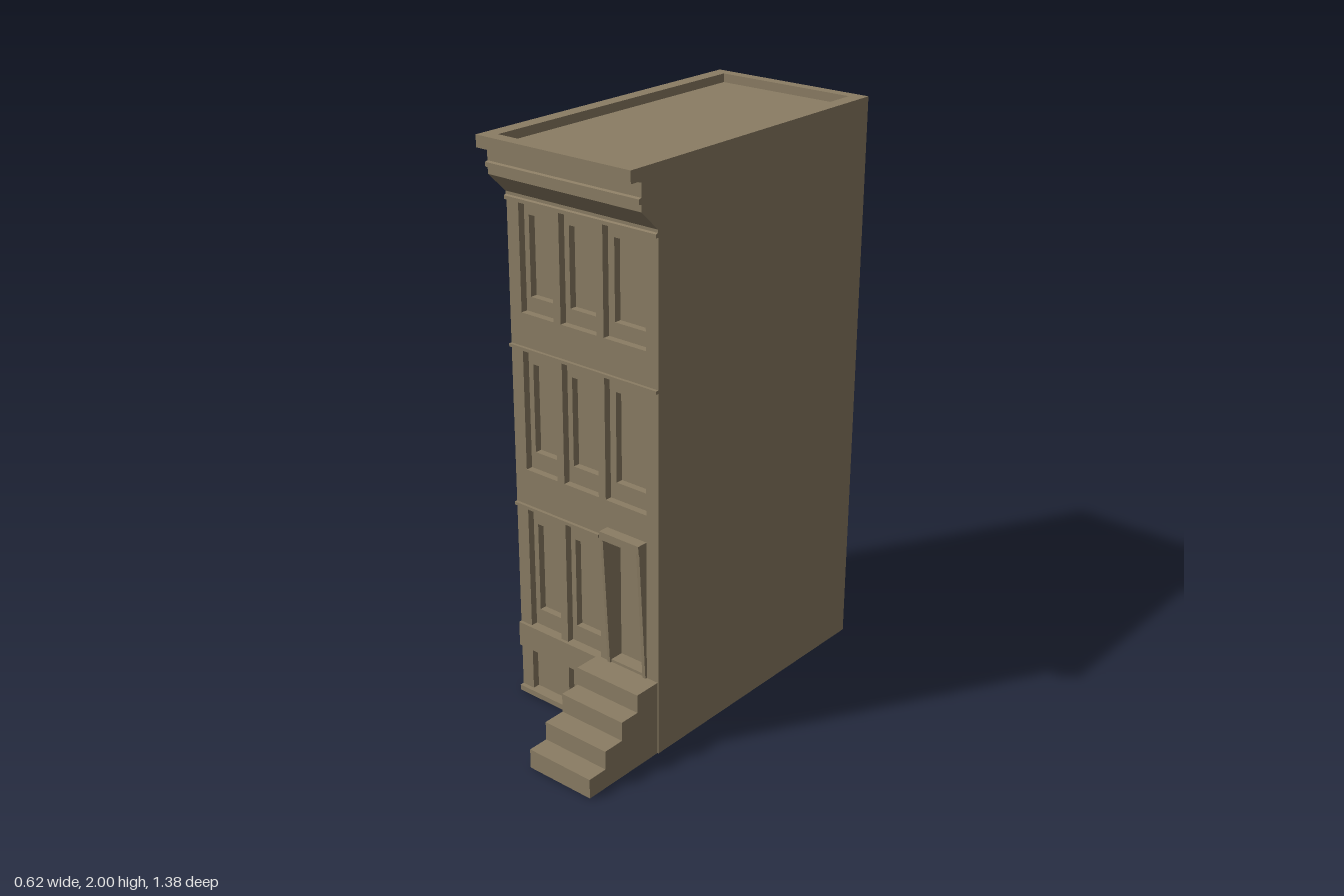
import * as THREE from 'three';

const W = 0.31;            // half width
const FRONT = 0.365;       // face of the front wall
const MID = 0.34;          // depth of the outer window recess
const PANE = 0.315;        // depth of the window panes
const BACK = -0.69;

const material = new THREE.MeshStandardMaterial({ color: 0x8b7d64, flatShading: true });

function add(parent, name, geometry) {
  const mesh = new THREE.Mesh(geometry, material);
  mesh.name = name;
  parent.add(mesh);
  return mesh;
}

// Box given by its limits
function block(x0, x1, y0, y1, z0, z1) {
  return new THREE.BoxGeometry(x1 - x0, y1 - y0, z1 - z0)
    .translate((x0 + x1) / 2, (y0 + y1) / 2, (z0 + z1) / 2);
}

function rect([x0, x1, y0, y1], Type = THREE.Shape) {
  return new Type([[x0, y0], [x1, y0], [x1, y1], [x0, y1]].map(p => new THREE.Vector2(...p)));
}

// Upright plate with rectangular openings
function plate(outline, holes, z0, z1) {
  const shape = rect(outline);
  shape.holes = holes.map(h => rect(h, THREE.Path));
  return new THREE.ExtrudeGeometry(shape, { depth: z1 - z0, bevelEnabled: false }).translate(0, 0, z0);
}

// Side profile of [z, y] points swept along x
function sweep(points, x0, x1) {
  const shape = new THREE.Shape(points.map(p => new THREE.Vector2(...p)));
  return new THREE.ExtrudeGeometry(shape, { depth: x1 - x0, bevelEnabled: false })
    .rotateY(-Math.PI / 2).translate(x1, 0, 0);
}

export function createModel() {
  const house = new THREE.Group();
  house.name = 'townhouse';

  // Window columns: [outer left, outer right, pane left, pane right]
  const columns = [
    [-0.26, -0.12, -0.24, -0.14],
    [-0.09, 0.06, -0.07, 0.04],
    [0.09, 0.26, 0.115, 0.24],
  ];
  // Storeys: [outer bottom, outer top, pane bottom, pane top, number of windows]
  const storeys = [
    [0.27, 0.72, 0.33, 0.655, 2],
    [0.86, 1.285, 0.92, 1.23, 3],
    [1.41, 1.775, 1.46, 1.73, 3],
  ];
  const door = [0.106, 0.247, 0.28, 0.737];
  const outer = [door], inner = [door];
  for (const [y0, y1, p0, p1, count] of storeys) {
    for (const [x0, x1, q0, q1] of columns.slice(0, count)) {
      outer.push([x0, x1, y0, y1]);
      inner.push([q0, q1, p0, p1]);
    }
  }
  // Basement recesses
  outer.push([-0.26, -0.12, 0.02, 0.18], [-0.09, 0.044, 0.02, 0.18]);

  // Main volume and layered front wall
  add(house, 'body', block(-W, W, 0, 1.96, BACK, PANE));
  add(house, 'windowFrames', plate([-W, W, 0, 1.96], inner, PANE, MID));
  add(house, 'frontWall', plate([-W, W, 0, 1.96], outer, MID, FRONT));

  // Roof deck and parapet
  add(house, 'roofDeck', block(-W, W, 1.96, 1.97, BACK, 0.485));
  const parapet = plate([-W, W, -0.485, 0.69], [[-0.26, 0.26, -0.44, 0.65]], 0, 0.03);
  add(house, 'parapet', parapet.rotateX(-Math.PI / 2).translate(0, 1.97, 0));

  // Cornice
  add(house, 'cornice', sweep([
    [FRONT, 1.775], [0.376, 1.775], [0.376, 1.787], [0.368, 1.79], [0.368, 1.8],
    [0.44, 1.868], [0.44, 1.89], [0.45, 1.893], [0.45, 1.908], [0.44, 1.911],
    [0.44, 1.955], [0.455, 1.96], [FRONT, 1.96],
  ], -W, W));

  // String courses
  add(house, 'upperCourse', block(-W, W, 1.285, 1.296, FRONT, 0.376));
  add(house, 'lowerCourse', block(-W, 0.065, 0.72, 0.731, FRONT, 0.376));
  add(house, 'basementBand', block(-W, 0.045, 0.18, 0.27, FRONT, 0.376));
  add(house, 'baseLedge', block(-W, 0.045, 0, 0.02, FRONT, 0.38));

  // Door surround with tapering cheeks and a hood
  const surround = new THREE.Group();
  surround.name = 'doorSurround';
  house.add(surround);
  const cheek = [[FRONT, 0.27], [0.372, 0.27], [0.4, 0.737], [FRONT, 0.737]];
  add(surround, 'doorCheekRight', sweep(cheek, 0.095, 0.106));
  add(surround, 'doorCheekLeft', sweep(cheek, 0.247, 0.26));
  add(surround, 'doorHood', block(0.095, 0.26, 0.737, 0.765, FRONT, 0.404));

  // Entrance steps
  add(house, 'entranceSteps', sweep([
    [FRONT, 0], [0.695, 0], [0.695, 0.07], [0.62, 0.07], [0.62, 0.137], [0.54, 0.137],
    [0.54, 0.205], [0.465, 0.205], [0.465, 0.27], [FRONT, 0.27],
  ], 0.045, 0.306));

  return house;
}
